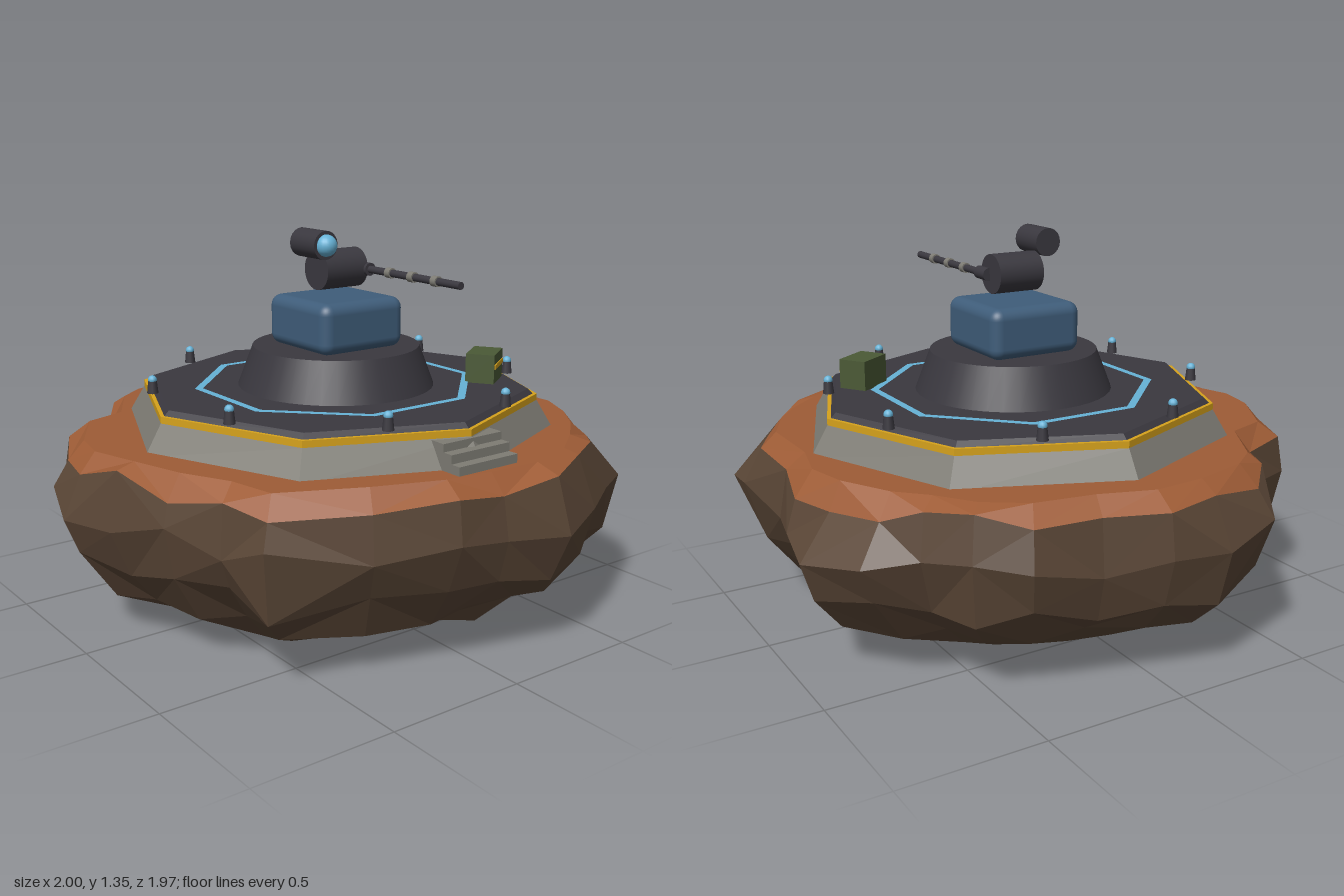
import * as THREE from 'three';
import { RoundedBoxGeometry } from 'three/addons/geometries/RoundedBoxGeometry.js';

const mat = (name, color) => {
  const m = new THREE.MeshStandardMaterial({ color });
  m.name = name;
  return m;
};

// Gives a geometry hard facets
function faceted(geo) {
  const g = geo.index ? geo.toNonIndexed() : geo;
  g.computeVertexNormals();
  return g;
}

// Rock outline seen from above, as x, z pairs
const OUTLINE = [
  [-.18, -.99], [.03, -.97], [.235, -.89], [.47, -.87], [.62, -.765], [.72, -.625], [.89, -.56], [1, -.35],
  [.97, -.16], [.92, .04], [.94, .35], [.915, .545], [.8, .69], [.62, .79], [.45, .89], [.245, .975],
  [.02, .92], [-.165, .91], [-.42, .8], [-.73, .67], [-.76, .48], [-.85, .29], [-.93, .08], [-1, -.12],
  [-.96, -.28], [-.81, -.52], [-.64, -.57], [-.5, -.8], [-.41, -.925],
];

function makeRock(soil, stone) {
  let seed = 11;
  const rand = () => {
    seed = (seed * 16807) % 2147483647;
    return seed / 2147483647 - 0.5;
  };
  const n = OUTLINE.length;
  // Each ring: scale of the outline, height, radial jitter, height jitter, largest radius
  const rings = [
    [.9, .655, .02, 0, .88], [.97, .6, .02, .08, .94], [1, .46, 0, .1, 2], [.94, .29, .05, .08, 2],
    [.82, .15, .06, .05, 2], [.62, .05, .07, .03, 2], [.35, .008, .08, .008, 2],
  ].map(([s, y, jr, jy, max]) => OUTLINE.map(([x, z]) => {
    const r = Math.hypot(x, z);
    const k = Math.min(r * s, max) / r + rand() * jr;
    return [x * k, y + rand() * jy, z * k];
  }));
  const top = [], side = [];
  for (let i = 0; i < n; i++) {
    const j = (i + 1) % n;
    top.push(...[0, .655, 0], ...rings[0][j], ...rings[0][i]);
    for (let k = 0; k < rings.length - 1; k++) {
      const a = rings[k], b = rings[k + 1], out = k === 0 ? top : side;
      if (rand() > 0) out.push(...a[i], ...a[j], ...b[j], ...a[i], ...b[j], ...b[i]);
      else out.push(...a[i], ...a[j], ...b[i], ...a[j], ...b[j], ...b[i]);
    }
    const last = rings[rings.length - 1];
    side.push(...[.08, 0, 0], ...last[i], ...last[j]);
  }
  const build = (name, pts, m) => {
    const g = new THREE.BufferGeometry();
    g.setAttribute('position', new THREE.Float32BufferAttribute(pts, 3));
    g.computeVertexNormals();
    const mesh = new THREE.Mesh(g, m);
    mesh.name = name;
    return mesh;
  };
  const rock = new THREE.Group();
  rock.name = 'rock';
  rock.add(build('rockSoilTop', top, soil), build('rockBody', side, stone));
  return rock;
}

export function createModel() {
  const stone = mat('brown stone', 0x5a4636);
  const soil = mat('orange soil', 0x9e5c36);
  const concrete = mat('grey concrete', 0x7e7c74);
  const dark = mat('dark metal', 0x3a383f);
  const yellow = mat('warning yellow', 0xd6a21c);
  const blue = mat('steel blue', 0x3f5d7a);
  const glow = mat('light blue', 0x66b2d6);
  const green = mat('crate green', 0x4b5a36);

  const model = new THREE.Group();
  model.name = 'rockTurretBase';
  model.add(makeRock(soil, stone));

  const base = new THREE.Group();
  base.name = 'base';
  base.position.set(.027, 0, .008);
  model.add(base);

  const add = (parent, name, geo, m, x = 0, y = 0, z = 0) => {
    const mesh = new THREE.Mesh(geo, m);
    mesh.name = name;
    mesh.position.set(x, y, z);
    parent.add(mesh);
    return mesh;
  };
  // Upright cylinder between two heights
  const tier = (name, m, rBottom, rTop, y0, y1, sides) => {
    const g = new THREE.CylinderGeometry(rTop, rBottom, y1 - y0, sides);
    return add(base, name, sides === 8 ? faceted(g) : g, m, 0, (y0 + y1) / 2, 0);
  };

  // Octagonal platform
  tier('foundation', concrete, .785, .722, .64, .745, 8);
  tier('warningStripe', yellow, .722, .722, .743, .768, 8);
  tier('deck', dark, .71, .69, .766, .785, 8);
  const ring = new THREE.RingGeometry(.486, .515, 8, 1, Math.PI / 8);
  ring.rotateX(-Math.PI / 2);
  add(base, 'deckLightRing', ring, glow, 0, .789, 0);
  tier('pedestal', dark, .356, .3, .78, .928, 40);

  // Stairs
  [[.805, .685], [.768, .715], [.73, .742]].forEach(([z1, y1], i) => {
    add(base, 'stairStep' + (i + 1), new THREE.BoxGeometry(.25, y1 - .64, z1 - .64),
      concrete, 0, (y1 + .64) / 2, (z1 + .64) / 2);
  });

  // Lamps around the deck
  for (let i = 0; i < 8; i++) {
    const a = (i + .5) * Math.PI / 4, x = Math.sin(a) * .663, z = Math.cos(a) * .663;
    add(base, 'lampPost', new THREE.CylinderGeometry(.015, .02, .045, 12), dark, x, .805, z);
    add(base, 'lampBulb', new THREE.SphereGeometry(.016, 12, 8), glow, x, .83, z);
  }

  // Supply crate
  const crate = new THREE.Group();
  crate.name = 'crate';
  crate.position.set(.49, .838, .295);
  crate.rotation.y = .6;
  model.add(crate);
  add(crate, 'crateBox', new THREE.BoxGeometry(.145, .106, .105), green);
  add(crate, 'crateStripe', new THREE.BoxGeometry(.135, .016, .006), yellow, 0, .008, .053);

  // Turret body
  const turret = new THREE.Group();
  turret.name = 'turret';
  model.add(turret);
  add(turret, 'turretBody', new RoundedBoxGeometry(.355, .18, .35, 4, .04), blue, .025, 1.015, .01);
  const housing = new THREE.CylinderGeometry(.07, .07, .175, 28).rotateZ(Math.PI / 2);
  add(turret, 'gunHousing', housing, dark, .027, 1.2, .01);

  // Cylinder lying along z between two depths
  const tubeZ = (name, m, r, x, y, z0, z1) => add(turret, name,
    new THREE.CylinderGeometry(r, r, z1 - z0, 20).rotateX(Math.PI / 2), m, x, y, (z0 + z1) / 2);

  // Gun
  tubeZ('gunBreech', dark, .023, .118, 1.197, .02, .09);
  tubeZ('gunBarrel', dark, .013, .118, 1.197, .05, .563);
  [.2, .32, .44].forEach((z) => tubeZ('barrelBand', concrete, .018, .118, 1.197, z - .013, z + .013));

  // Sensor
  tubeZ('sensorCase', dark, .05, -.1, 1.3, -.022, .12);
  add(turret, 'sensorLens', new THREE.SphereGeometry(.038, 20, 14), glow, -.1, 1.3, .122);

  return model;
}
